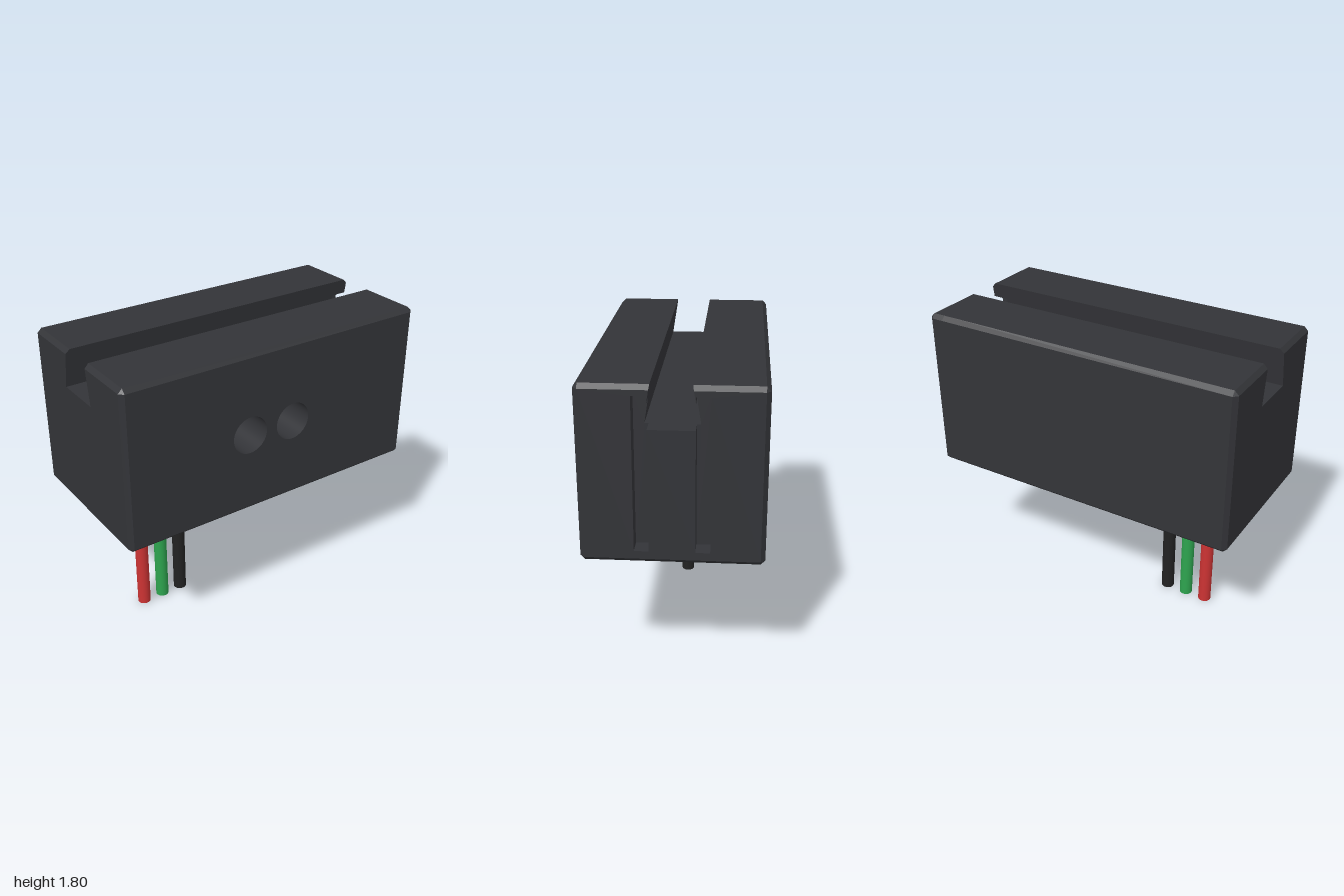
import * as THREE from 'three';
import { mergeGeometries } from 'three/addons/utils/BufferGeometryUtils.js';

const W = 1, D = 0.5, Y0 = 0.8, Y1 = 1.8, C = 0.025;   // half width, half depth, heights, chamfer
const FLOOR = 1.565, SLOT_DEPTH = 0.1;                  // groove floor, end slot depth
const HOLES = [-0.2, 0.1], HOLE_Y = 1.3, HOLE_R = 0.115, HOLE_DEPTH = 0.25;
const S = { in: 0.125, out: 0.205, bottom: 0.871, top: 1.743 };

// half width of the dovetail groove at height y
const groove = y => 0.147 - (y - FLOOR) * 0.037 / (Y1 - FLOOR);
// height at which the groove wall meets the inner slot wall
const MEET = FLOOR + (0.147 - S.in) * (Y1 - FLOOR) / 0.037;

// cross-section of the block, right half listed and mirrored; first edges are the outside
function section(slotted, atEnd) {
  const inset = atEnd ? C : 0;
  const half = [
    [D - C, Y0 + inset], [D - inset, Y0 + C], [D - inset, Y1 - C], [D - C, Y1 - inset],
    [groove(Y1 - inset), Y1 - inset],
    ...(slotted
      ? [[S.in, MEET], [S.in, S.top], [S.out, S.top], [S.out, S.bottom], [S.in, S.bottom], [S.in, FLOOR]]
      : [[groove(FLOOR), FLOOR]]),
  ];
  return [...half, ...half.slice().reverse().map(([u, y]) => [-u, y])];
}

// skin between two cross-sections, leaving out edges that skip() picks
function skin(a, xa, b, xb, skip = () => false) {
  const pos = [];
  const put = ([u, y], x) => pos.push(x, y, -u);
  a.forEach((p, i) => {
    const j = (i + 1) % a.length;
    if (skip(p, a[j])) return;
    put(p, xa); put(a[j], xa); put(b[j], xb);
    put(p, xa); put(b[j], xb); put(b[i], xb);
  });
  const g = new THREE.BufferGeometry();
  g.setAttribute('position', new THREE.Float32BufferAttribute(pos, 3));
  g.computeVertexNormals();
  return g;
}

const toShape = pts => new THREE.Shape(pts.map(([u, y]) => new THREE.Vector2(u, y)));

function flat(shape) {
  const g = new THREE.ShapeGeometry(shape, 24).toNonIndexed();
  g.deleteAttribute('uv');
  return g;
}

function bodyGeometry() {
  const isFront = (p, q) => p[0] === -D && q[0] === -D;
  const plain = section(false, false), slotted = section(true, false);
  const plainEnd = section(false, true), slottedEnd = section(true, true);
  const xs = W - SLOT_DEPTH;
  const parts = [
    skin(plainEnd, -W, plain, -W + C),
    skin(plain, -W + C, plain, xs, isFront),
    skin(slotted, xs, slotted, W - C, isFront),
    skin(slotted, W - C, slottedEnd, W),
    flat(toShape(plainEnd)).rotateY(-Math.PI / 2).translate(-W, 0, 0),
    flat(toShape(slottedEnd)).rotateY(Math.PI / 2).translate(W, 0, 0),
  ];
  // slot floors
  for (const s of [1, -1]) {
    const pts = [[S.in, S.bottom], [S.out, S.bottom], [S.out, S.top], [S.in, S.top],
      [S.in, MEET], [groove(FLOOR), FLOOR], [S.in, FLOOR]].map(([u, y]) => [s * u, y]);
    parts.push(flat(toShape(pts)).rotateY(Math.PI / 2).translate(xs, 0, 0));
  }
  // front face with the two sensor holes
  const w = W - C;
  const front = toShape([[-w, Y0 + C], [w, Y0 + C], [w, Y1 - C], [-w, Y1 - C]]);
  for (const x of HOLES) {
    front.holes.push(new THREE.Path().absarc(x, HOLE_Y, HOLE_R, 0, Math.PI * 2, true));
  }
  parts.push(flat(front).translate(0, 0, D));
  return mergeGeometries(parts);
}

export function createModel() {
  const model = new THREE.Group();
  const add = (name, geometry, color, x, y, z, side = THREE.FrontSide) => {
    const mesh = new THREE.Mesh(geometry, new THREE.MeshStandardMaterial({ color, side }));
    mesh.name = name;
    mesh.position.set(x, y, z);
    model.add(mesh);
    return mesh;
  };
  const BODY = 0x333438;

  add('body', bodyGeometry(), BODY, 0, 0, 0);

  // sensor holes: wall, floor and the emitter or receiver inside
  HOLES.forEach((x, i) => {
    const wall = new THREE.CylinderGeometry(HOLE_R, HOLE_R, HOLE_DEPTH, 48, 1, true).rotateX(Math.PI / 2);
    add('holeWall', wall, BODY, x, HOLE_Y, D - HOLE_DEPTH / 2, THREE.BackSide);
    add('holeFloor', new THREE.CircleGeometry(HOLE_R, 48), BODY, x, HOLE_Y, D - HOLE_DEPTH);
    const lens = new THREE.CylinderGeometry(0.102, 0.102, 0.02, 48).rotateX(Math.PI / 2);
    add(i ? 'receiver' : 'emitter', lens, i ? 0x1c1c1c : 0xe0dccf, x, HOLE_Y, D - HOLE_DEPTH + 0.01);
  });

  // wires
  const wires = [['redWire', 0xcc3333, -0.67], ['greenWire', 0x2ea44f, -0.535], ['blackWire', 0x222222, -0.4]];
  for (const [name, color, x] of wires) {
    add(name, new THREE.CylinderGeometry(0.04, 0.04, Y0 + 0.01, 24), color, x, (Y0 + 0.01) / 2, 0);
  }
  return model;
}
